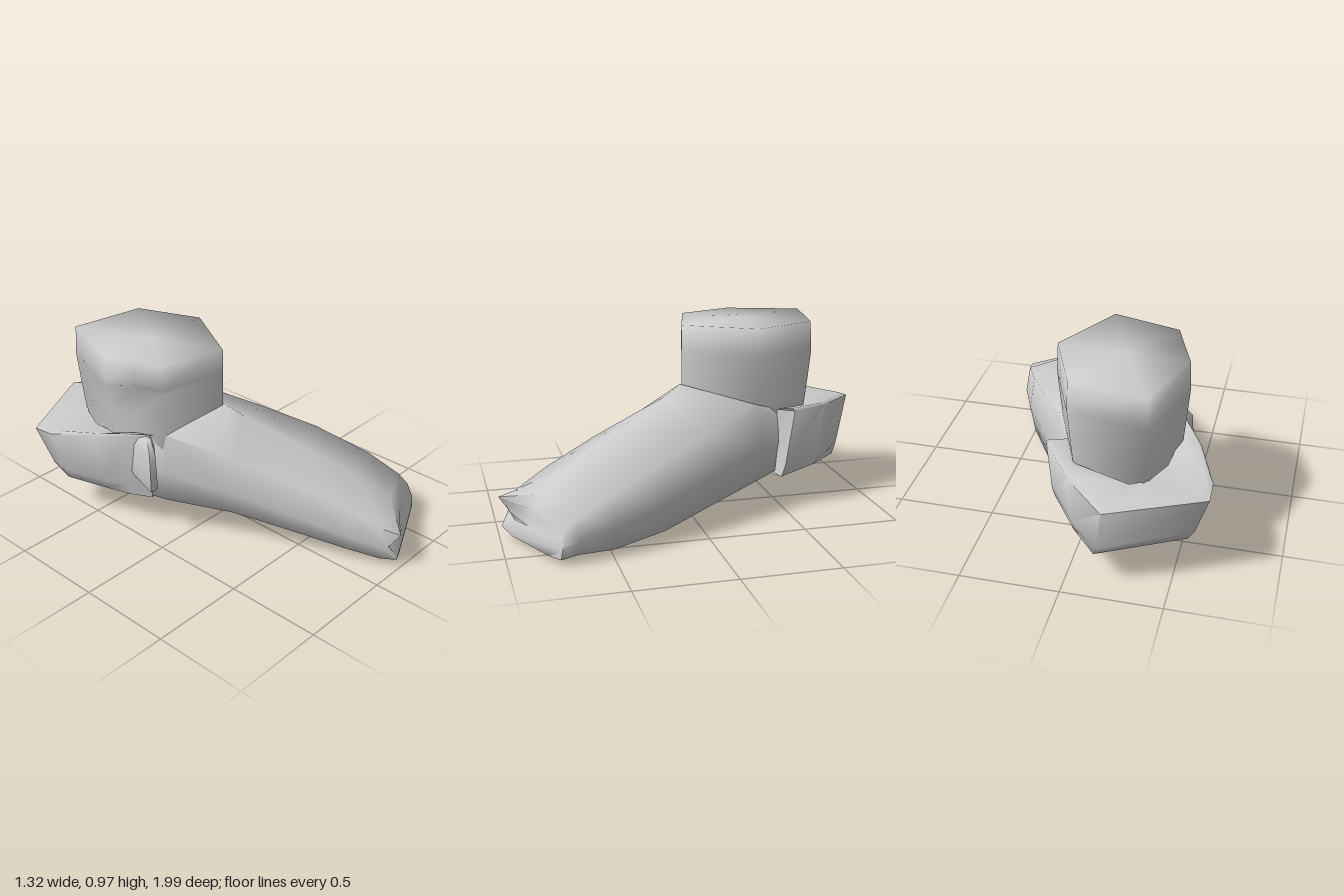
import * as THREE from 'three';
import { toCreasedNormals } from 'three/addons/utils/BufferGeometryUtils.js';

// The boot points diagonally: s runs heel to toe, t runs across it.
const place = ([s, y, t]) => [0.437 * s + 0.9 * t, y, 0.9 * s - 0.437 * t];

// Skin a list of rows of [s, y, t] points.
function loft(rows, closed, crease) {
  const n = rows[0].length;
  const index = [];
  for (let i = 0; i < rows.length - 1; i++) {
    for (let j = 0; j < (closed ? n : n - 1); j++) {
      const k = (j + 1) % n;
      const a = i * n + j, b = i * n + k, c = a + n, d = b + n;
      index.push(a, b, d, a, d, c);
    }
  }
  const g = new THREE.BufferGeometry();
  g.setAttribute('position', new THREE.Float32BufferAttribute(rows.flat().flatMap(place), 3));
  g.setIndex(index);
  return toCreasedNormals(g, crease);
}

export function createModel() {
  const group = new THREE.Group();
  const grey = new THREE.MeshStandardMaterial({ color: 0xcccccc, side: THREE.DoubleSide });
  grey.name = 'pale grey';
  const add = (name, geometry) => {
    const mesh = new THREE.Mesh(geometry, grey);
    mesh.name = name;
    group.add(mesh);
  };

  // Foot: s, sole y, top edge y, ridge y, left-hand and right-hand width, arch y
  const stations = [
    [-0.7, 0.19, 0.42, 0.44, 0.22, 0.27, 0.2],
    [-0.25, 0.13, 0.57, 0.66, 0.29, 0.325, 0.18],
    [0.1, 0.08, 0.48, 0.61, 0.275, 0.35, 0.16],
    [0.4, 0.025, 0.4, 0.49, 0.272, 0.358, 0.11],
    [0.7, 0.0, 0.295, 0.365, 0.278, 0.335, 0.06],
    [0.88, 0.008, 0.215, 0.255, 0.278, 0.29, 0.035],
  ];
  const footRows = stations.map(([s, yb, yt, yc, wl, wr, yl], i) => {
    const mid = (yb + yt) / 2;
    const ridgeS = i === 1 ? 0.0 : s; // follows the front corner of the ankle
    return [
      [s, (yb + yl) / 2, -0.6 * wl], [s, yb, 0.55 * wr], [s, yb + 0.03, 0.93 * wr],
      [s, mid, wr], [s, yt, 0.92 * wr], [ridgeS, yc, -0.036], [s, yt, -0.95 * wl],
      [s, mid, -wl], [s, yl, -0.95 * wl],
    ];
  });
  // Toe: slopes down to the lower lip, with a notched beak on one side
  footRows.push([
    [0.965, 0.02, -0.16], [0.965, 0.02, 0.16], [0.965, 0.03, 0.255],
    [0.96, 0.09, 0.265], [0.93, 0.175, 0.25], [0.93, 0.19, -0.036], [0.975, 0.2, -0.27],
    [0.92, 0.12, -0.27], [0.965, 0.045, -0.265],
  ], [
    [0.97, 0.07, -0.16], [0.97, 0.07, 0.16], [0.965, 0.07, 0.25],
    [0.96, 0.09, 0.25], [0.945, 0.14, 0.24], [0.94, 0.145, -0.036], [0.94, 0.16, -0.265],
    [0.915, 0.12, -0.265], [0.955, 0.07, -0.26],
  ]);
  footRows.push(footRows.at(-1).map(([, , t]) => [t < -0.2 ? 0.92 : 0.955, 0.11, t * 0.97]));
  add('foot', loft(footRows, true, 1.35));

  // Ankle: six-cornered collar with a flat lid and a shallow recess in one side
  const collar = [
    [-0.83, 0.008], [-0.6, 0.322], [-0.245, 0.3], [-0.015, -0.036],
    [-0.247, -0.303], [-0.4, -0.285], [-0.55, -0.27],
  ];
  const levels = [
    [0.97, 0, 0], [0.97, 1, 0], [0.84, 1.02, 0], [0.81, 1.02, 0.03],
    [0.66, 0.98, 0.03], [0.56, 0.95, 0.03], [0.42, 0.9, 0.02],
  ];
  add('ankle', loft(levels.map(([y, k, dent]) => collar.map(([s, t], j) => {
    const along = s > -0.1 && k > 0.5 ? 1 : k; // the front corner stays upright
    return [(s + 0.4) * along - 0.4, y, t * k + (j === 5 ? dent : 0)];
  })), true, 1.75));

  // Heel cup: wraps from one side around the heel to the other
  const bottom = [
    [-0.37, 0.17, 0.36], [-0.66, 0.17, 0.32], [-0.87, 0.175, 0.265], [-0.88, 0.195, -0.19],
    [-0.82, 0.195, -0.24], [-0.6, 0.185, -0.265], [-0.45, 0.18, -0.28], [-0.33, 0.175, -0.27],
  ];
  const rim = [
    [-0.42, 0.53, 0.4], [-0.71, 0.505, 0.35], [-0.985, 0.495, 0.255], [-0.98, 0.48, -0.255],
    [-0.87, 0.49, -0.305], [-0.62, 0.53, -0.325], [-0.44, 0.55, -0.31], [-0.33, 0.55, -0.285],
  ];
  const inner = [
    [-0.4, 0.52, 0.29], [-0.6, 0.51, 0.29], [-0.8, 0.5, 0.08], [-0.78, 0.49, -0.02],
    [-0.68, 0.49, -0.14], [-0.53, 0.52, -0.24], [-0.41, 0.55, -0.26], [-0.31, 0.55, -0.26],
  ];
  const belly = bottom.map(([s, y, t], j) => {
    const r = rim[j];
    return [s * 0.7 + r[0] * 0.3, y + 0.06, t * 0.65 + r[2] * 0.35];
  });
  const spine = bottom.map(([s, y]) => [Math.max(s, -0.82), Math.min(y, 0.18), 0]);
  const lip = rim.map(([s, y, t], j) =>
    [s * 0.85 + inner[j][0] * 0.15, y + 0.012, t * 0.85 + inner[j][2] * 0.15]);
  add('heelCup', loft([spine, bottom, belly, rim, lip, inner], false, 1.35));

  // Front end of the cup's free side, closed against the foot
  add('cupEnd', loft([
    [rim[0], belly[0], bottom[0]],
    [inner[0], [-0.4, 0.35, 0.275], [-0.4, 0.17, 0.26]],
  ], false, 1.0));

  // Side flap: a rounded wedge hanging from the other side: y, outward reach
  const flapLevels = [[0.555, 0.1], [0.545, 0.6], [0.5, 0.88], [0.4, 0.95], [0.3, 1], [0.275, 0.85], [0.27, 0.1]];
  const flapOutline = [[-0.31, -0.26], [-0.265, -0.36], [-0.29, -0.388], [-0.45, -0.28]];
  add('sideFlap', loft(flapLevels.map(([y, k]) => flapOutline.map(([s, t]) =>
    [-0.36 + (s + 0.36) * k, y + (t > -0.3 && y < 0.35 ? 0.04 : 0), -0.27 + (t + 0.27) * k])), true, 1.0));
  return group;
}
